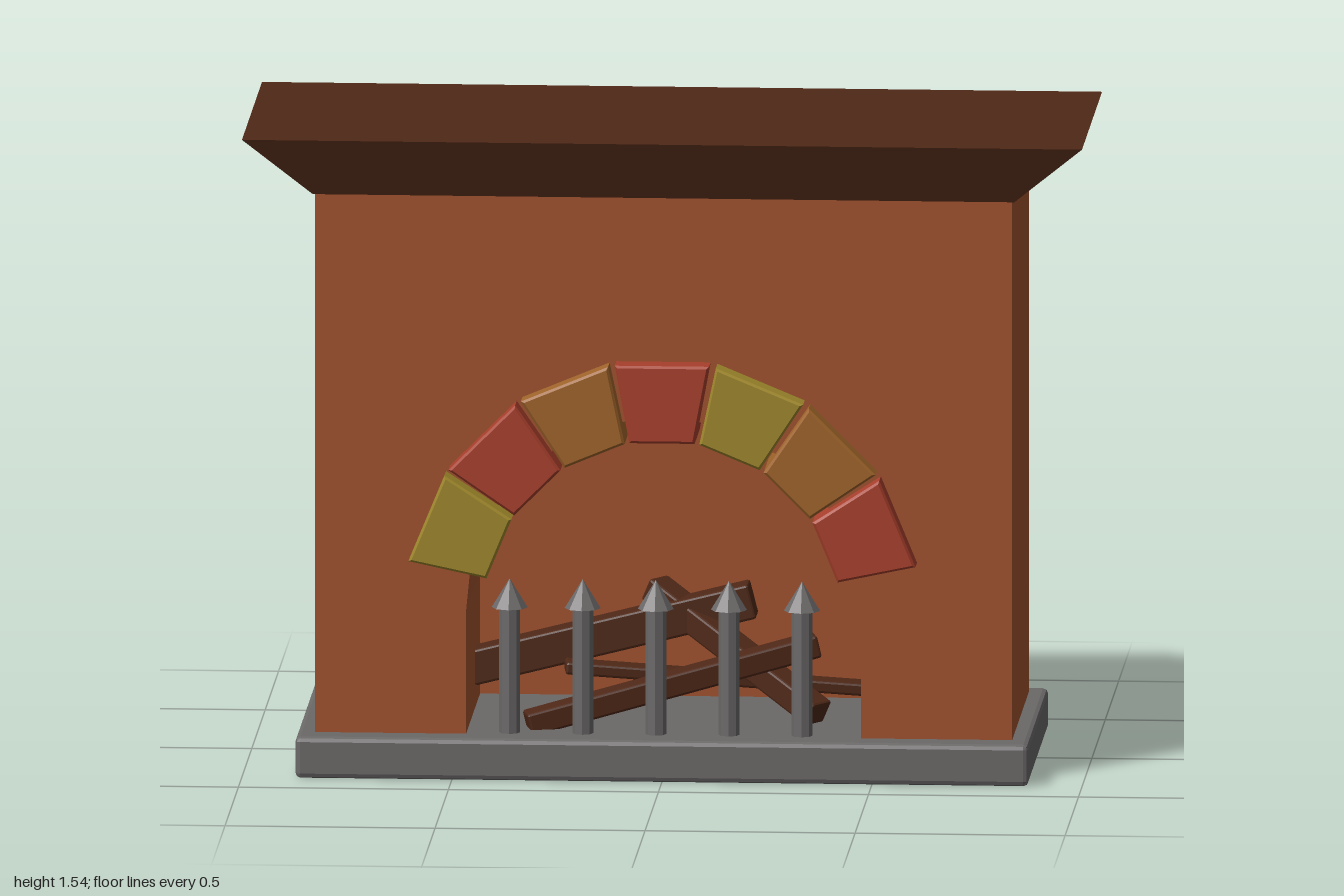
import * as THREE from 'three';
import { RoundedBoxGeometry } from 'three/addons/geometries/RoundedBoxGeometry.js';

const mat = (color) => new THREE.MeshStandardMaterial({ color, flatShading: true });
const BRICK = mat(0xa0522d), STONE = mat(0x6b6868), WOOD = mat(0x4f2817);
const RED = mat(0xa83f2b), YELLOW = mat(0x9f872b), ORANGE = mat(0xa0642a);
const ARCH_Y = 0.398; // centre height of the arch

function add(parent, name, geometry, material, x = 0, y = 0, z = 0) {
  const mesh = new THREE.Mesh(geometry, material);
  mesh.name = name;
  mesh.position.set(x, y, z);
  parent.add(mesh);
  return mesh;
}

// Wall outline with an arched notch open at the bottom
function wallGeometry(depth) {
  const s = new THREE.Shape();
  s.moveTo(-0.83, 0.1);
  s.lineTo(-0.47, 0.1);
  s.lineTo(-0.47, ARCH_Y);
  s.absarc(0, ARCH_Y, 0.47, Math.PI, 0, true);
  s.lineTo(0.47, 0.1);
  s.lineTo(0.83, 0.1);
  s.lineTo(0.83, 1.4);
  s.lineTo(-0.83, 1.4);
  return new THREE.ExtrudeGeometry(s, { depth, bevelEnabled: false, curveSegments: 8 });
}

// Box whose lower face shrinks to meet the wall
function mantelGeometry() {
  const g = new THREE.BoxGeometry(2, 0.14, 0.75);
  const p = g.attributes.position;
  for (let i = 0; i < p.count; i++) {
    if (p.getY(i) < 0) {
      p.setX(i, Math.sign(p.getX(i)) * 0.835);
      p.setZ(i, Math.sign(p.getZ(i)) * 0.317);
    }
  }
  return g;
}

// Wedge stone centred on the vertical, between two radii
function wedgeGeometry() {
  const half = THREE.MathUtils.degToRad(10.5), inner = 0.427, outer = 0.617, bevel = 0.006;
  const s = new THREE.Shape([[-1, inner], [1, inner], [1, outer], [-1, outer]].map(
    ([side, r]) => new THREE.Vector2(side * Math.sin(half) * r, Math.cos(half) * r)));
  return new THREE.ExtrudeGeometry(s, {
    depth: 0.19, bevelThickness: bevel, bevelSize: bevel, bevelOffset: -bevel, bevelSegments: 1,
  });
}

// Square beam running between two points
function addLog(parent, a, b, height, depth) {
  const from = new THREE.Vector3(...a), to = new THREE.Vector3(...b);
  const log = add(parent, 'log', new RoundedBoxGeometry(depth, height, from.distanceTo(to), 1, 0.006), WOOD);
  log.position.copy(from).lerp(to, 0.5);
  log.lookAt(to);
}

export function createModel() {
  const model = new THREE.Group();
  model.name = 'fireplace';

  // Hearth slab, wall, back wall and mantel
  add(model, 'hearthSlab', new RoundedBoxGeometry(1.745, 0.1, 0.755, 1, 0.012), STONE, 0, 0.05, 0.002);
  add(model, 'archedWall', wallGeometry(0.52), BRICK, 0, 0, -0.21);
  add(model, 'backWall', new THREE.BoxGeometry(1.66, 1.3, 0.11), BRICK, 0, 0.75, -0.265);
  add(model, 'mantel', mantelGeometry(), WOOD, 0, 1.47, -0.007);

  // Arch stones, left to right across the front
  const arch = new THREE.Group();
  arch.name = 'archStones';
  model.add(arch);
  const wedge = wedgeGeometry();
  [YELLOW, RED, ORANGE, RED, YELLOW, ORANGE, RED].forEach((material, i) => {
    const stone = add(arch, 'archStone', wedge, material, 0, ARCH_Y, 0.178);
    stone.rotation.z = THREE.MathUtils.degToRad((3 - i) * 22.5);
  });

  // Pointed bars of the fire guard
  const guard = new THREE.Group();
  guard.name = 'fireGuard';
  model.add(guard);
  for (let i = 0; i < 5; i++) {
    const x = -0.368 + i * 0.174;
    add(guard, 'guardPost', new THREE.CylinderGeometry(0.025, 0.025, 0.31, 8), STONE, x, 0.25, 0.282);
    add(guard, 'guardPoint', new THREE.ConeGeometry(0.043, 0.07, 8), STONE, x, 0.437, 0.282);
  }

  // Crossed logs
  const logs = new THREE.Group();
  logs.name = 'logs';
  model.add(logs);
  addLog(logs, [-0.48, 0.195, -0.06], [0.19, 0.365, -0.06], 0.085, 0.08);
  addLog(logs, [-0.33, 0.11, 0.22], [0.35, 0.28, 0.06], 0.055, 0.07);
  addLog(logs, [-0.05, 0.38, -0.12], [0.36, 0.13, 0.16], 0.06, 0.07);
  addLog(logs, [-0.25, 0.22, 0.06], [0.465, 0.16, -0.02], 0.03, 0.07);
  return model;
}
